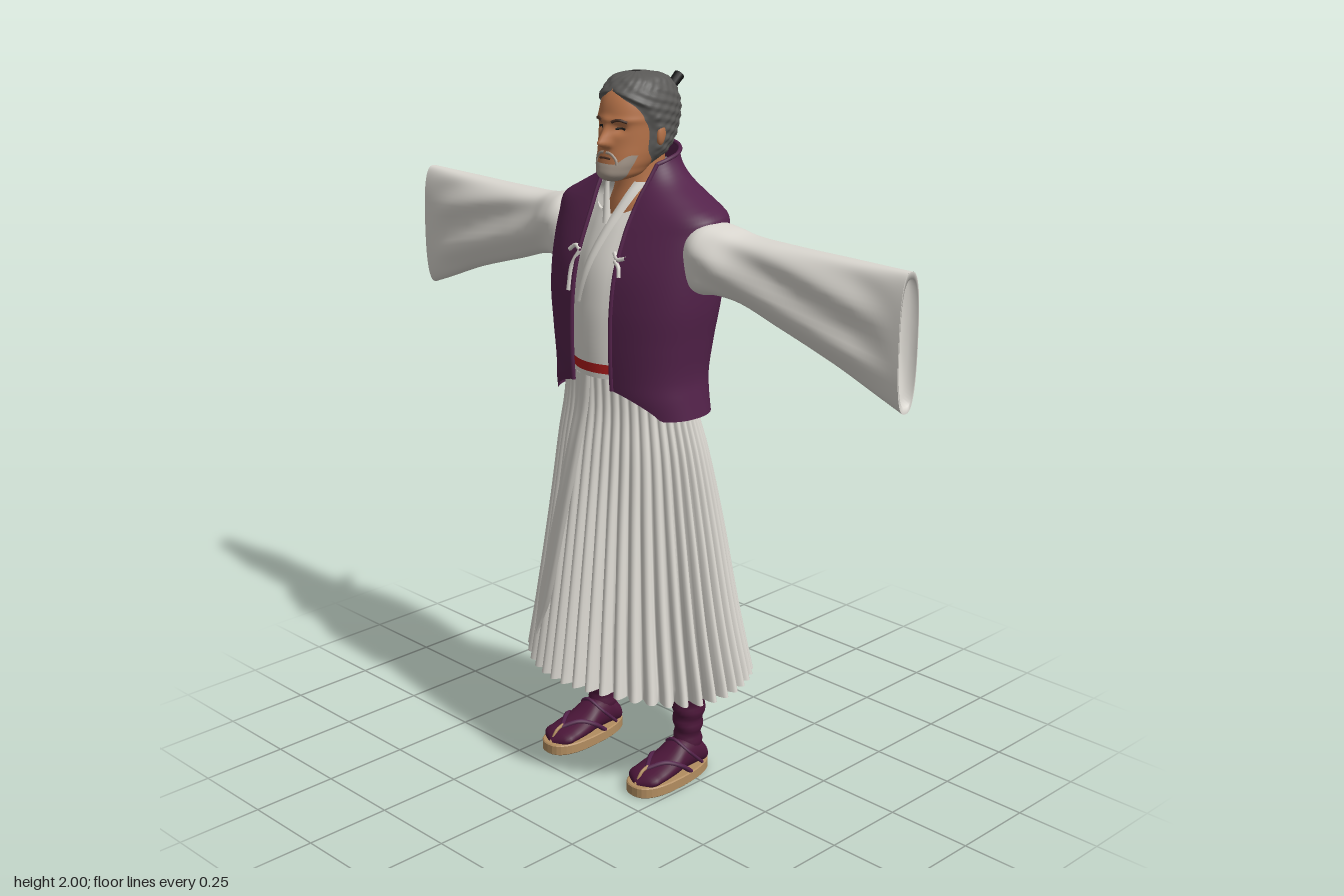
import * as THREE from 'three';
import { mergeVertices } from 'three/addons/utils/BufferGeometryUtils.js';

const paint = (name, color, side = THREE.DoubleSide) => {
  const m = new THREE.MeshStandardMaterial({ color, side });
  m.name = name;
  return m;
};
const V = (x, y, z) => new THREE.Vector3(x, y, z);
const { sin, cos, abs, PI, max, min } = Math;
const lerp = THREE.MathUtils.lerp, smooth = THREE.MathUtils.smoothstep;

// Rows of [position, ...values] become a smooth function of position
function profile(rows) {
  const f = new THREE.CubicInterpolant(rows.map(r => r[0]), rows.flatMap(r => r.slice(1)), rows[0].length - 1);
  return t => Array.from(f.evaluate(t));
}
// Smooth surface through point(u, v), u and v from 0 to 1
function grid(point, nu, nv, flip = false) {
  const pos = [], idx = [];
  for (let j = 0; j <= nv; j++)
    for (let i = 0; i <= nu; i++) pos.push(...point(i / nu, j / nv).toArray());
  for (let j = 0; j < nv; j++)
    for (let i = 0; i < nu; i++) {
      const a = j * (nu + 1) + i, b = a + 1, c = b + nu + 1, d = a + nu + 1;
      idx.push(...(flip ? [a, c, b, a, d, c] : [a, b, c, a, c, d]));
    }
  const g = new THREE.BufferGeometry();
  g.setAttribute('position', new THREE.Float32BufferAttribute(pos, 3));
  g.setIndex(idx);
  const m = mergeVertices(g, 1e-5);
  m.computeVertexNormals();
  return m;
}
const pw = (v, n) => Math.sign(v) * abs(v) ** (2 / n);
// Point of a superellipse section [half width, front z, back z]
const ring = ([hw, zf, zb], a, y, n, off = 0) =>
  V((hw + off) * pw(sin(a), n), y, (zf + zb) / 2 + ((zf - zb) / 2 + off) * pw(cos(a), n));
const frontZ = ([hw, zf, zb], x, n, off = 0) =>
  (zf + zb) / 2 + ((zf - zb) / 2 + off) * max(0, 1 - (abs(x) / (hw + off)) ** n) ** (1 / n);
const tube = (pts, r, seg = 24) => new THREE.TubeGeometry(new THREE.CatmullRomCurve3(pts), seg, r, 6);

const torso = profile([
  [1.10, .247, .165, -.12], [1.15, .24, .178, -.122], [1.2, .235, .183, -.125], [1.3, .247, .186, -.135],
  [1.4, .264, .182, -.146], [1.5, .272, .165, -.156], [1.6, .278, .125, -.152], [1.645, .272, .102, -.142],
  [1.68, .212, .085, -.13], [1.72, .142, .066, -.115], [1.765, .104, .05, -.1], [1.82, .096, .04, -.097]]);
const skirtP = profile([
  [.31, .365, .285, -.283], [.5, .325, .26, -.245], [.8, .272, .22, -.19], [1, .24, .192, -.138],
  [1.1, .218, .178, -.108], [1.23, .2, .178, -.1]]);
const headP = profile([
  [1.722, .02, .115, .075], [1.73, .042, .126, .03], [1.76, .064, .13, -.02], [1.79, .075, .126, -.06],
  [1.82, .081, .121, -.085], [1.86, .085, .118, -.1], [1.9, .087, .115, -.106], [1.94, .08, .1, -.098],
  [1.965, .065, .078, -.08], [1.983, .041, .05, -.046], [1.991, .002, .012, .006]]);
const noseP = profile([[1.8, 0], [1.808, .002], [1.822, .032], [1.835, .027], [1.855, .013], [1.875, .005], [1.9, 0]]);

const robeBump = x => .018 * max(0, 1 - (x / .075) ** 2);
const robeZ = (x, y) => frontZ(torso(y), x, 2.4, -.012) + robeBump(x);
const headPoint = (a, y, off = 0) => {
  const p = ring(headP(y), a, y, 2.2, off);
  if (cos(a) > 0) {
    p.z += noseP(y)[0] * Math.exp(-((p.x / .015) ** 2));
    p.z -= .011 * Math.exp(-(((abs(p.x) - .036) / .016) ** 2) - (((y - 1.862) / .013) ** 2));
    p.z += .004 * Math.exp(-(((y - 1.884) / .008) ** 2));
  }
  return p;
};

export function createModel() {
  const model = new THREE.Group();
  const cloth = paint('white cloth', 0xdcd9d2), purple = paint('purple cloth', 0x53224a);
  const darkPurple = paint('dark purple', 0x4a1638), skin = paint('skin', 0xb8744a);
  const hairMat = paint('grey hair', 0x5a5957), beardMat = paint('pale beard', 0xa5978a);
  const black = paint('black', 0x141414), straw = paint('straw', 0xb28d60), red = paint('red', 0xb01c1c);
  const brown = paint('dark brown', 0x4a3024);
  const add = (name, geo, mat, parent = model) => {
    const m = new THREE.Mesh(geo, mat);
    m.name = name;
    parent.add(m);
    return m;
  };

  // Pleated skirt: rounded lobes that deepen toward the hem
  add('skirt', grid((u, v) => {
    const y = lerp(.31, 1.23, v), a = u * 2 * PI;
    const lobe = 1 - abs(sin(a * 22 + .5 * sin(3 * a) * (1 - v)));
    const depth = lerp(.06, .006, v ** .7) * (.8 + .2 * sin(5 * a + 1));
    const p = ring(skirtP(y), a, y, 2, -depth * lobe ** 1.3);
    p.y += .006 * sin(4 * a) * (1 - v) ** 4;
    return p;
  }, 396, 24), cloth);

  // Loose fold hanging down the front of the skirt
  add('skirtFold', grid((u, v) => {
    const y = lerp(.4, 1.2, v), t = 1 - v;
    const w = lerp(.03, .045, t) * min(1, v * 6 + .1);
    const x = -.035 - .14 * t ** 1.2 + (u - .5) * 2 * w;
    return V(x, y, frontZ(skirtP(y), x, 2) + .002 + .01 * sin(PI * u) + .003 * sin(u * 9));
  }, 10, 24), cloth);

  // Inner robe with a V neck
  add('robe', grid((u, v) => {
    const a = u * 2 * PI, front = cos(a) > 0;
    const x0 = abs(.11 * sin(a));
    const top = front ? 1.635 + .125 * smooth(x0, 0, .1) : 1.76;
    const y = lerp(1.2, top, v), p = ring(torso(y), a, y, 2.4, -.012);
    if (front) p.z += robeBump(p.x);
    return p;
  }, 96, 40), cloth);
  // Overlapping collar bands of the robe
  const band = (x0, y0, x1, y1, lift) => grid((u, v) => {
    const y = lerp(y1, y0, v), x = lerp(x1, x0, v ** 1.15) + (u - .5) * .03;
    return V(x, y, robeZ(x, y) + lift * (.4 + sin(PI * u)));
  }, 6, 20);
  add('underCollar', band(-.062, 1.72, .005, 1.61, .004), cloth);
  add('overCollar', band(.062, 1.72, -.05, 1.4, .006), cloth);
  add('belt', grid((u, v) => {
    const a = u * 2 * PI, y = lerp(1.216, 1.242, v), p = ring(torso(y), a, y, 2.4, -.007);
    if (cos(a) > 0) p.z += robeBump(p.x);
    return p;
  }, 96, 3), red);

  // Open sleeveless vest with stand collar
  const vestPoint = (u, v) => {
    const hemX = .247 * sin(lerp(.3, 2 * PI - .3, u));
    const hem = 1.1 + .08 * max(0, 1 - (hemX / .2) ** 2) ** .7 * (u > .25 && u < .75 ? .7 : 1);
    const y = lerp(hem, 1.765 + .04 * sin(PI * u), v), s = torso(y);
    const open = .075 + .014 * smooth(y, 1.6, 1.77);
    const a0 = Math.asin((open / s[0]) ** 1.2);
    return ring(s, lerp(a0, 2 * PI - a0, u), y, 2.4);
  };
  add('vest', grid(vestPoint, 90, 60), purple);
  for (const u of [0, 1])
    add('vestEdge', tube(Array.from({ length: 16 }, (_, i) => vestPoint(u, i / 15)), .006, 40), purple);
  add('collarEdge', tube(Array.from({ length: 21 }, (_, i) => vestPoint(i / 20, 1)), .006, 48), purple);

  // White tie cords on the chest
  const cord = pts => add('tieCord', tube(pts.map(([x, y]) => V(x, y, frontZ(torso(y), x, 2.4) + .003)), .006, 12), cloth);
  cord([[-.112, 1.525], [-.09, 1.54], [-.068, 1.53]]);
  cord([[-.068, 1.53], [-.088, 1.49], [-.092, 1.42]]);
  cord([[.06, 1.545], [.075, 1.53], [.1, 1.535]]);
  cord([[.068, 1.525], [.085, 1.51], [.092, 1.485]]);

  // Wide sleeves with draped folds and a recessed cuff
  const sleeveP = profile([
    [.2, 1.6, 1.47, .06, -.075], [.26, 1.632, 1.445, .085, -.098], [.31, 1.628, 1.45, .078, -.102],
    [.38, 1.615, 1.44, .056, -.098], [.5, 1.612, 1.402, .046, -.092], [.7, 1.613, 1.338, .04, -.088],
    [.85, 1.615, 1.278, .022, -.068], [.905, 1.616, 1.257, .016, -.06]]);
  const sleevePoint = (s, x, a, k = 1) => {
    const [yt, yb, zf, zb] = sleeveP(x), yc = (yt + yb) / 2, zc = (zf + zb) / 2;
    const y = yc + k * (yt - yb) / 2 * pw(cos(a), 2.7);
    const fade = smooth(x, .22, .34) * (1 - smooth(x, .75, .9));
    const fold = .008 * fade * sin(48 * (yt - y) - 16 * x + 3) * abs(sin(a));
    return V(s * x, y, zc + (k * (zf - zb) / 2 + fold) * pw(sin(a), 2.7));
  };
  const cuff = [[.905, 1], [.905, .9], [.88, .86], [.88, 0]];
  for (const s of [1, -1]) {
    const side = s > 0 ? 'left' : 'right';
    add(side + 'Sleeve', grid((u, v) => sleevePoint(s, lerp(.2, .905, v), u * 2 * PI), 64, 48, s < 0), cloth);
    add(side + 'Cuff', grid((u, v) => {
      const [x, k] = cuff[Math.round(v * 3)], p = sleevePoint(s, .905, u * 2 * PI, k);
      p.x = s * x;
      return p;
    }, 48, 3, s < 0), cloth);
  }

  // Neck and head
  const neckP = profile([[1.58, .09, .085, -.06], [1.65, .082, .076, -.06], [1.7, .066, .064, -.065], [1.79, .062, .062, -.075]]);
  add('neck', grid((u, v) => ring(neckP(lerp(1.58, 1.79, v)), u * 2 * PI, lerp(1.58, 1.79, v), 2), 32, 12), skin);
  const head = new THREE.Group();
  head.name = 'head';
  model.add(head);
  add('face', grid((u, v) => headPoint(u * 2 * PI, lerp(1.722, 1.991, v)), 120, 64), skin, head);

  // Swept-back hair, thinning to nothing at the hairline
  const hairline = profile([[1.765, 1.9], [1.8, 1.45], [1.86, 1.27], [1.9, 1.05], [1.925, .75], [1.945, .25], [1.955, 0], [1.992, 0]]);
  add('hair', grid((u, v) => {
    const y = lerp(1.765, 1.991, v), a0 = max(0, hairline(y)[0]);
    const edge = smooth(min(u, 1 - u) * (PI - a0) * 2 + smooth(y, 1.94, 1.97), 0, .35) * smooth(v, 0, .12);
    const a = lerp(a0, 2 * PI - a0, u);
    const p = headPoint(a, y, .001 + edge * (.01 + .0016 * sin(a * 9 + y * 260) + .001 * sin(a * 23 - y * 190)));
    p.y += .009 * smooth(y, 1.93, 1.985);
    return p;
  }, 110, 48), hairMat, head);
  const knot = add('topknot', new THREE.CylinderGeometry(.015, .012, .1, 12), black, head);
  knot.position.set(0, 1.94, -.113);
  knot.rotation.x = -.86;

  // Beard, moustache, mouth
  add('beard', grid((u, v) => {
    const a = (u - .5) * 2.3, top = 1.77 + .024 * smooth(abs(a), .4, .9);
    const y = lerp(1.723, top, v);
    return headPoint(a, y, .001 + .005 * sin(PI * u) * sin(PI * (.2 + .8 * v)));
  }, 36, 14), beardMat, head);
  const onFace = (pts, r, name, mat) => add(name, tube(pts.map(([x, y]) => V(x, y, headPoint(Math.asin((abs(x) / headP(y)[0]) ** 1.1), y).z)), r, 12), mat, head);
  onFace([[-.02, 1.783], [0, 1.785], [.02, 1.783]], .003, 'mouth', brown);
  for (const s of [1, -1]) {
    onFace([[s * .004, 1.799], [s * .018, 1.797], [s * .034, 1.782], [s * .037, 1.768]], .004, 'moustache', beardMat);
    onFace([[s * .018, 1.88], [s * .036, 1.886], [s * .056, 1.88]], .004, 'eyebrow', brown);
    onFace([[s * .024, 1.861], [s * .036, 1.863], [s * .048, 1.86]], .003, 'eye', black);
    const ear = add('ear', new THREE.SphereGeometry(1, 16, 12), skin, head);
    ear.scale.set(.011, .032, .019);
    ear.position.set(s * .087, 1.845, .005);
    ear.rotation.set(-.15, s * .3, 0);
  }

  // Wrapped legs, feet and straw sandals
  const legP = profile([[.05, .038, .025, -.072], [.12, .037, .02, -.062], [.2, .044, .026, -.072], [.3, .05, .034, -.084], [.5, .06, .045, -.09], [.8, .075, .06, -.09]]);
  const footP = profile([[-.082, .005, .05], [-.07, .034, .075], [-.03, .043, .11], [.02, .046, .115], [.07, .053, .088], [.13, .056, .068], [.17, .047, .056], [.19, .005, .04]]);
  const sole = new THREE.Shape(Array.from({ length: 36 }, (_, i) => {
    const a = i / 36 * 2 * PI;
    return new THREE.Vector2((.06 + .009 * sin(a)) * pw(cos(a), 2.4), -.057 - .143 * pw(sin(a), 2.4));
  }));
  for (const s of [1, -1]) {
    const leg = new THREE.Group();
    leg.name = s > 0 ? 'leftLeg' : 'rightLeg';
    leg.position.x = s * .178;
    model.add(leg);
    add('legging', grid((u, v) => {
      const y = lerp(.05, .8, v), a = u * 2 * PI;
      return ring(legP(y), a, y, 2, .003 * sin(y * 130 + 1.5 * sin(a)));
    }, 28, 70), darkPurple, leg);
    add('foot', grid((u, v) => {
      const z = lerp(-.082, .19, v), [hw, top] = footP(z), a = u * 2 * PI;
      return V(hw * pw(sin(a), 2.3), (top + .022) / 2 + (top - .022) / 2 * cos(a), z);
    }, 28, 32, true), darkPurple, leg);
    const sandal = add('sandal', new THREE.ExtrudeGeometry(sole, { depth: .026, bevelEnabled: true, bevelSize: .003, bevelThickness: .003, bevelSegments: 1 }), straw, leg);
    sandal.rotation.x = -PI / 2;
    sandal.position.y = .003;
    for (const k of [1, -1])
      add('sandalStrap', tube([V(0, .066, .145), V(k * .03, .078, .1), V(k * .053, .062, .06), V(k * .054, .03, .02)], .007), purple, leg);
    add('toeCord', tube([V(0, .04, .182), V(0, .062, .165), V(0, .071, .14)], .005, 8), straw, leg);
    add('ankleCord', tube([V(-.05, .04, -.03), V(-.044, .09, .02), V(0, .117, .035), V(.044, .09, .02), V(.05, .04, -.03)], .005), purple, leg);
  }
  return model;
}
